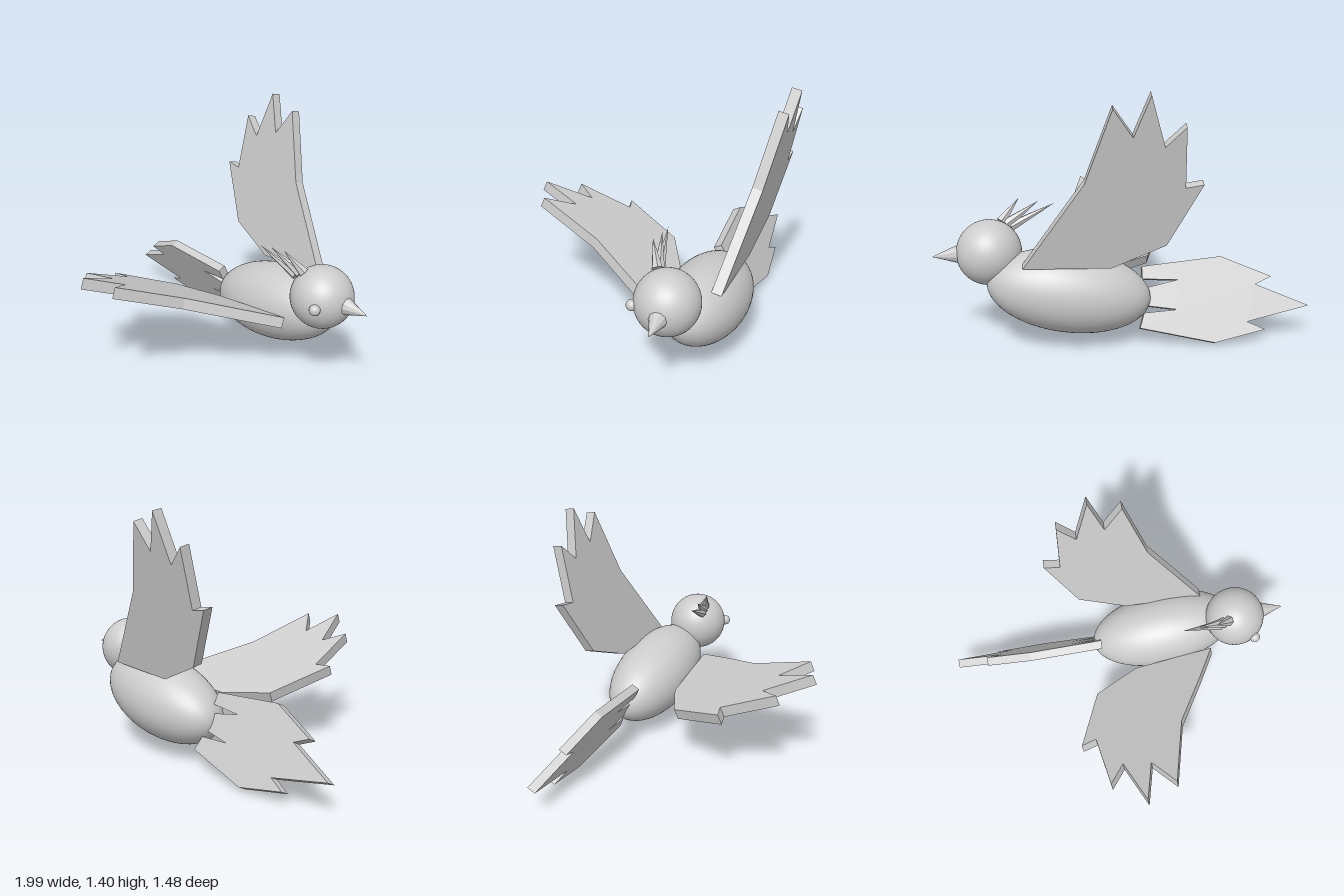
import * as THREE from 'three';

const plumage = new THREE.MeshStandardMaterial({ color: 0xcccccc });
plumage.name = 'plain grey';

export function createModel() {
  const model = new THREE.Group();
  model.name = 'flyingBird';

  const add = (name, geometry) => {
    const mesh = new THREE.Mesh(geometry, plumage);
    mesh.name = name;
    model.add(mesh);
    return mesh;
  };

  // Flat feathered slab: a 2D outline laid on the plane origin + u*a + v*b,
  // thickened along u x v (shift -1 puts the outline on the far face).
  const slab = (name, outline, origin, u, v, thickness, shift) => {
    const shape = new THREE.Shape(outline.map(([a, b]) => new THREE.Vector2(a, b)));
    const geometry = new THREE.ExtrudeGeometry(shape, { depth: 1, bevelEnabled: false });
    geometry.translate(0, 0, shift);
    const U = new THREE.Vector3(...u), V = new THREE.Vector3(...v);
    const N = U.clone().cross(V).setLength(thickness);
    geometry.applyMatrix4(new THREE.Matrix4().makeBasis(U, V, N).setPosition(...origin));
    geometry.computeVertexNormals();
    return add(name, geometry);
  };

  // Pointed cone from a base centre to a tip
  const spike = (name, base, tip, radius, sides) => {
    const a = new THREE.Vector3(...base), b = new THREE.Vector3(...tip);
    const dir = b.clone().sub(a), length = dir.length();
    const geometry = new THREE.ConeGeometry(radius, length, sides).toNonIndexed();
    geometry.computeVertexNormals();
    const mesh = add(name, geometry);
    mesh.position.copy(a).add(b).multiplyScalar(0.5);
    mesh.quaternion.setFromUnitVectors(new THREE.Vector3(0, 1, 0), dir.normalize());
  };

  // Body: long ellipsoid, pitched up towards the head
  const body = add('body', new THREE.SphereGeometry(1, 48, 32));
  body.scale.set(0.435, 0.22, 0.22);
  body.position.set(0.28, 0.3, -0.39);
  body.rotation.z = 0.17;

  // Head, single eye and beak
  add('head', new THREE.SphereGeometry(0.172, 48, 32)).position.set(0.695, 0.5, -0.31);
  add('eye', new THREE.SphereGeometry(0.03, 24, 16)).position.set(0.785, 0.5, -0.157);
  spike('beak', [0.858, 0.498, -0.322], [0.99, 0.49, -0.33], 0.047, 10);

  // Crest feathers
  spike('crestFeather1', [0.58, 0.61, -0.225], [0.345, 0.72, -0.18], 0.028, 6);
  spike('crestFeather2', [0.605, 0.625, -0.23], [0.43, 0.735, -0.18], 0.03, 6);
  spike('crestFeather3', [0.63, 0.64, -0.23], [0.535, 0.75, -0.17], 0.03, 6);

  // Near wing, spread outwards (outline in x, z)
  slab('leftWing', [
    [0.54, -0.19], [0.43, 0], [0.26, 0.275], [0.155, 0.65], [0.04, 0.505], [-0.02, 0.725],
    [-0.115, 0.48], [-0.2, 0.59], [-0.24, 0.29], [-0.325, 0.315], [-0.185, -0.02], [0.07, -0.15],
  ], [0, 0.372, 0], [1, 0.1, 0], [0, 0.396, 1], 0.06, 0);

  // Far wing, raised (outline in x, y)
  slab('rightWing', [
    [0.52, 0.49], [0.21, 0.955], [0.08, 1.335], [-0.02, 1.19], [-0.1, 1.4], [-0.175, 1.14],
    [-0.275, 1.24], [-0.285, 0.925], [-0.375, 0.94], [-0.205, 0.61], [0.07, 0.485],
  ], [0, 0.593 - 1.09, 0].map((c, i) => [0, 0, -0.397][i]), [1, 0, 0.03], [0, 1, -0.2], 0.056, -1);

  // Tail fan with notched root (outline in x, y)
  slab('tail', [
    [-0.085, 0.085], [-0.11, 0.155], [-0.29, 0.165], [-0.11, 0.19], [-0.11, 0.27], [-0.3, 0.305],
    [-0.11, 0.315], [-0.11, 0.375], [-0.54, 0.41], [-0.81, 0.305], [-0.72, 0.27], [-1, 0.16],
    [-0.66, 0.095], [-0.755, 0.055], [-0.48, 0.003],
  ], [0, 0, -0.483], [1, 0, 0], [0, 1, 0.52], 0.05, -1);

  return model;
}
